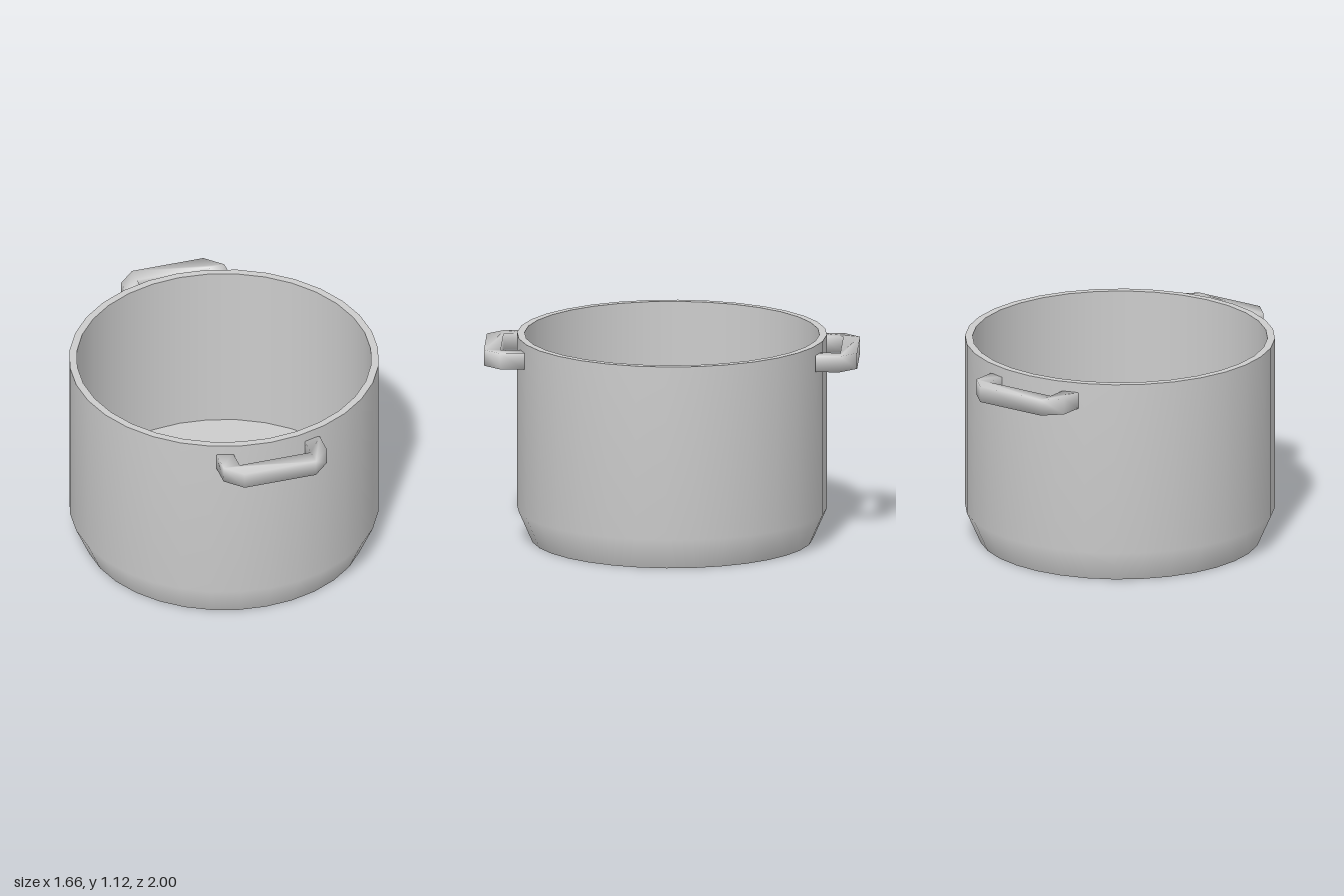
import * as THREE from 'three';
import { mergeVertices } from 'three/addons/utils/BufferGeometryUtils.js';

const material = new THREE.MeshStandardMaterial({ color: 0xcccccc });
const v2 = (p) => new THREE.Vector2(p[0], p[1]);

// Surface of revolution around the pot's axis; profile runs so faces point outward
function turned(name, profile) {
  const mesh = new THREE.Mesh(new THREE.LatheGeometry(profile.map(v2), 32), material);
  mesh.name = name;
  return mesh;
}

// Square-section loop handle with cut outer corners and softly shaded edges
function handleGeometry() {
  const outline = [
    [0.29, 0.78], [0.29, 0.91], [0.2, 1], [-0.2, 1], [-0.29, 0.91], [-0.29, 0.78],
    [-0.2, 0.78], [-0.2, 0.91], [0.2, 0.91], [0.2, 0.78],
  ];
  const extruded = new THREE.ExtrudeGeometry(new THREE.Shape(outline.map(v2)), {
    depth: 0.087, bevelEnabled: false,
  });
  extruded.rotateX(Math.PI / 2).translate(0, 1.066, 0);
  // Share corner vertices so the normals are averaged across the edges
  extruded.deleteAttribute('normal');
  extruded.deleteAttribute('uv');
  const geometry = mergeVertices(extruded);
  geometry.computeVertexNormals();
  return geometry;
}

export function createModel() {
  const model = new THREE.Group();
  model.name = 'cookingPot';

  // Pot body: separate surfaces keep the rim and base edges crisp
  const body = new THREE.Group();
  body.name = 'potBody';
  body.add(
    turned('base', [[0, 0], [0.755, 0]]),
    turned('outerWall', [[0.755, 0], [0.83, 0.17], [0.83, 1.12]]),
    turned('rim', [[0.83, 1.12], [0.79, 1.12]]),
    turned('innerWall', [[0.79, 1.12], [0.79, 0.17]]),
    turned('innerFloor', [[0.79, 0.17], [0, 0.17]]),
  );
  model.add(body);

  // Front and back handles
  const geometry = handleGeometry();
  ['frontHandle', 'backHandle'].forEach((name, i) => {
    const handle = new THREE.Mesh(geometry, material);
    handle.name = name;
    handle.rotation.y = i * Math.PI;
    model.add(handle);
  });

  return model;
}
